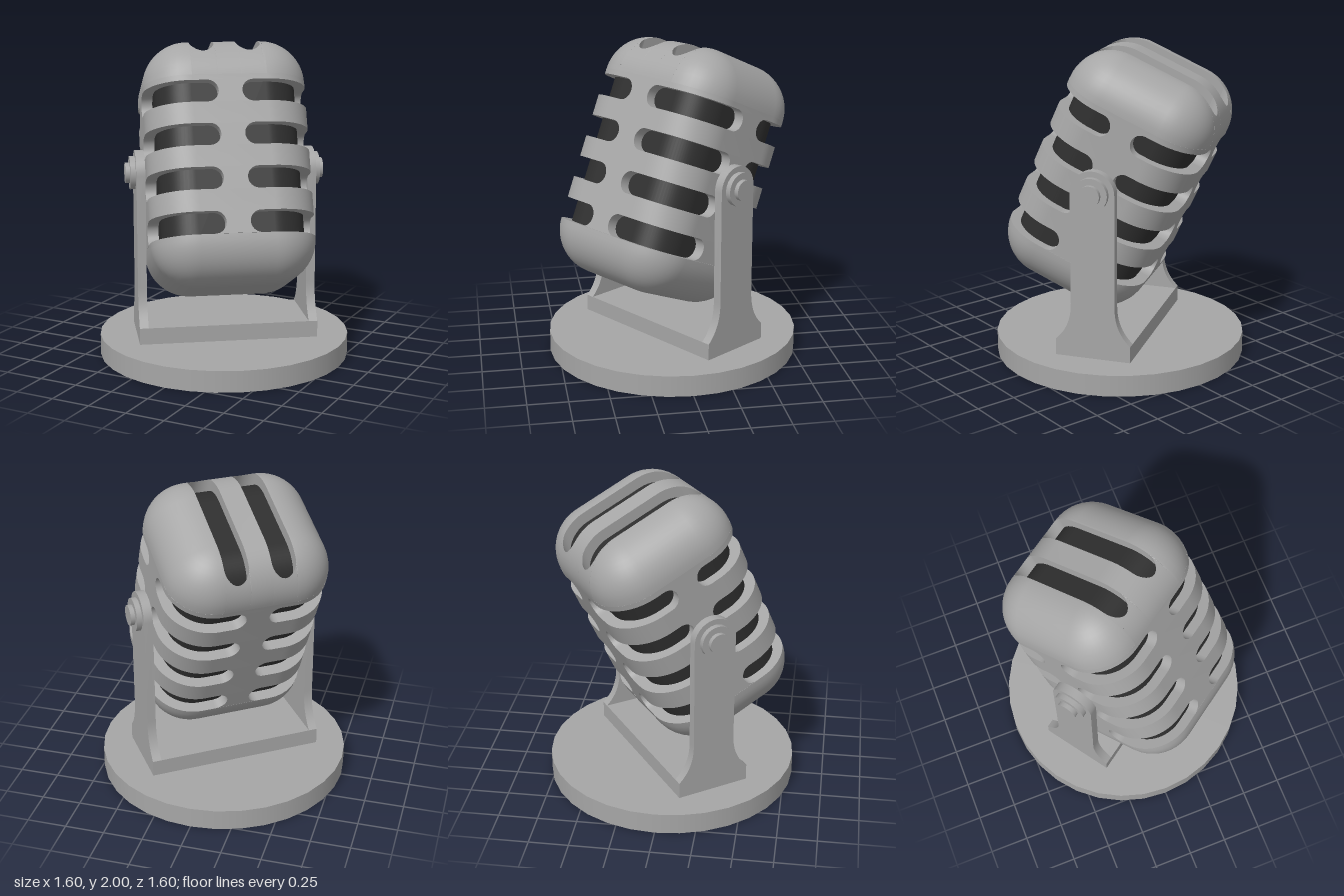
import * as THREE from 'three';
import { toCreasedNormals } from 'three/addons/utils/BufferGeometryUtils.js';
import { RoundedBoxGeometry } from 'three/addons/geometries/RoundedBoxGeometry.js';

const metal = new THREE.MeshStandardMaterial({ color: 0xa6a6a6 });
metal.name = 'grey metal';
const dark = new THREE.MeshStandardMaterial({ color: 0x2e2e2e });
dark.name = 'dark grille';

// Capsule: rounded box, flat half sizes plus edge radius
const FX = 0.23, FY = 0.49, FZ = 0.195, R = 0.28;
const WALL = 0.09, INSET = 0.068;
const SLOT = 0.068; // half height of a side slot
const TIERS = [0, 1, 2, 3].map(i => 0.387 - 0.2693 * i);
const HALF = Math.PI / 2;

function add(parent, name, geometry, material = metal) {
  const mesh = new THREE.Mesh(geometry, material);
  mesh.name = name;
  parent.add(mesh);
  return mesh;
}

function extrude(shape, depth) {
  return new THREE.ExtrudeGeometry(shape, { depth, bevelEnabled: false, curveSegments: 10 });
}

// Extrusion of a (z, y) outline running along x from x0 to x1
function extrudeX(shape, x0, x1) {
  return toCreasedNormals(extrude(shape, x1 - x0).rotateY(HALF).translate(x0, 0, 0), 0.6);
}

// Surface through rows of [x, y, z] points
function grid(rows) {
  const n = rows[0].length, index = [];
  for (let i = 0; i < rows.length - 1; i++) {
    for (let j = 0; j < n - 1; j++) {
      const a = i * n + j, d = a + n;
      index.push(a, a + 1, d + 1, a, d + 1, d);
    }
  }
  const g = new THREE.BufferGeometry();
  g.setAttribute('position', new THREE.Float32BufferAttribute(rows.flat(2), 3));
  g.setIndex(index);
  return toCreasedNormals(g, 0.6);
}

// Rounded rectangle outline passing through the given corners
function section(corners, rho, y) {
  const pts = [];
  corners.forEach(([sx, sz], k) => {
    for (let i = 0; i <= 10; i++) {
      const t = (k + i / 10) * HALF;
      pts.push([sx * FX + rho * Math.sin(t), y, sz * FZ + rho * Math.cos(t)]);
    }
  });
  return pts;
}

function domeRows(corners) {
  const rows = [];
  for (let i = 0; i <= 12; i++) {
    const p = i / 12 * HALF;
    rows.push(section(corners, R * Math.cos(p), FY + R * Math.sin(p)));
  }
  return rows;
}

function roundedRect(path, r) {
  path.absarc(FX, FZ, r, 0, HALF);
  path.absarc(-FX, FZ, r, HALF, 2 * HALF);
  path.absarc(-FX, -FZ, r, 2 * HALF, 3 * HALF);
  path.absarc(FX, -FZ, r, 3 * HALF, 4 * HALF);
  path.closePath();
  return path;
}

// Band running round the capsule
function band(y0, y1) {
  const shape = roundedRect(new THREE.Shape(), R);
  shape.holes.push(roundedRect(new THREE.Path(), R - WALL));
  return toCreasedNormals(extrude(shape, y1 - y0).rotateX(-HALF).translate(0, y0, 0), 0.6);
}

// Post between two slots, hollowed by their round ends
function postGeometry() {
  const e = 0.0725 + SLOT, s = new THREE.Shape();
  s.moveTo(-e, -SLOT);
  s.lineTo(e, -SLOT);
  s.absarc(e, 0, SLOT, -HALF, HALF, true);
  s.lineTo(-e, SLOT);
  s.absarc(-e, 0, SLOT, HALF, -HALF, true);
  return toCreasedNormals(extrude(s, WALL).translate(0, 0, -WALL), 0.6);
}

// Arch over the top of the capsule
function archShape() {
  const s = new THREE.Shape(), r = R - WALL;
  s.moveTo(FZ + R, FY);
  s.absarc(FZ, FY, R, 0, HALF);
  s.absarc(-FZ, FY, R, HALF, 2 * HALF);
  s.lineTo(-FZ - r, FY);
  s.absarc(-FZ, FY, r, 2 * HALF, HALF, true);
  s.absarc(FZ, FY, r, HALF, 0, true);
  s.closePath();
  return s;
}

// Shell below the round end of a top slot
function slotEnd() {
  const rows = [], wall = [], N = 10, w = 0.075;
  for (let i = 0; i <= N; i++) {
    const row = [];
    for (let j = 0; j <= 14; j++) {
      const t = j / 14 * Math.PI, x = -w * Math.cos(t), zc = 0.345 + w * Math.sin(t);
      const p = Math.acos((zc - FZ) / R) * i / N;
      row.push([x, FY + R * Math.sin(p), FZ + R * Math.cos(p)]);
      if (i === N) wall.push([x, 0.455, zc]);
    }
    rows.push(row);
  }
  rows.push(wall);
  return grid(rows);
}

function buildCapsule() {
  const g = new THREE.Group();
  g.name = 'capsule';
  add(g, 'innerGrille', new RoundedBoxGeometry(
    2 * (FX + R - INSET), 2 * (FY + R - INSET), 2 * (FZ + R - INSET), 8, R - INSET), dark);

  // Bands above and between the slots
  add(g, 'upperBand', band(TIERS[0] + SLOT, FY));
  for (let i = 0; i < 3; i++) add(g, 'band', band(TIERS[i + 1] + SLOT, TIERS[i] - SLOT));

  // Posts on the four faces
  const post = postGeometry();
  for (const y of TIERS) {
    for (let k = 0; k < 4; k++) {
      const m = add(g, 'post', post), a = k * HALF, d = (k % 2 ? FX : FZ) + R;
      m.rotation.y = a;
      m.position.set(Math.sin(a) * d, y, Math.cos(a) * d);
    }
  }

  // Closed lower dome
  const all = [[1, 1], [1, -1], [-1, -1], [-1, 1], [1, 1]].slice(0, 4);
  const rows = domeRows(all).map(r => [...r, r[0]]);
  const hub = y => rows[0].map(() => [0, y, 0]);
  add(g, 'lowerDome', grid([hub(FY), ...rows, hub(FY + R)])).rotation.x = Math.PI;

  // Upper dome: middle rail, side ends and slot ends
  const arch = archShape();
  add(g, 'middleRail', extrudeX(arch, -0.07, 0.07));
  const rim = extrudeX(arch, 0.22, FX);
  const end = grid(domeRows([[1, 1], [1, -1]]));
  const tip = slotEnd();
  for (const turn of [0, Math.PI]) {
    add(g, 'slotRim', rim).rotation.y = turn;
    add(g, 'domeEnd', end).rotation.y = turn;
    for (const x of [-0.145, 0.145]) {
      const m = add(g, 'slotEnd', tip);
      m.rotation.y = turn;
      m.position.x = x;
    }
  }
  g.position.y = 1.19;
  g.rotation.x = THREE.MathUtils.degToRad(-24);
  return g;
}

function buildBracket() {
  const g = new THREE.Group();
  g.name = 'bracket';
  add(g, 'bracketFoot', new THREE.BoxGeometry(1.134, 0.105, 0.48)).position.y = 0.1875;

  // Arm with flared foot and round top
  const s = new THREE.Shape();
  s.moveTo(-0.24, 0.24);
  s.lineTo(0.24, 0.24);
  s.quadraticCurveTo(0.14, 0.33, 0.14, 0.48);
  s.absarc(0, 1.19, 0.14, 0, Math.PI);
  s.lineTo(-0.14, 0.48);
  s.quadraticCurveTo(-0.14, 0.33, -0.24, 0.24);
  const arm = extrudeX(s, 0.511, 0.567);
  const disc = (r, x0, x1) => new THREE.CylinderGeometry(r, r, x1 - x0, 20)
    .rotateZ(HALF).translate((x0 + x1) / 2, 1.19, 0);
  for (const turn of [0, Math.PI]) {
    const side = new THREE.Group();
    side.name = 'bracketSide';
    add(side, 'arm', arm);
    add(side, 'washer', disc(0.105, 0.56, 0.6));
    add(side, 'pivotKnob', disc(0.065, 0.59, 0.628));
    side.rotation.y = turn;
    g.add(side);
  }
  return g;
}

export function createModel() {
  const model = new THREE.Group();
  model.name = 'microphone';
  add(model, 'base', new THREE.CylinderGeometry(0.8, 0.8, 0.135, 32)).position.y = 0.0675;
  const upper = new THREE.Group();
  upper.name = 'turnedAssembly';
  upper.add(buildCapsule(), buildBracket());
  upper.rotation.y = THREE.MathUtils.degToRad(35);
  model.add(upper);
  return model;
}
